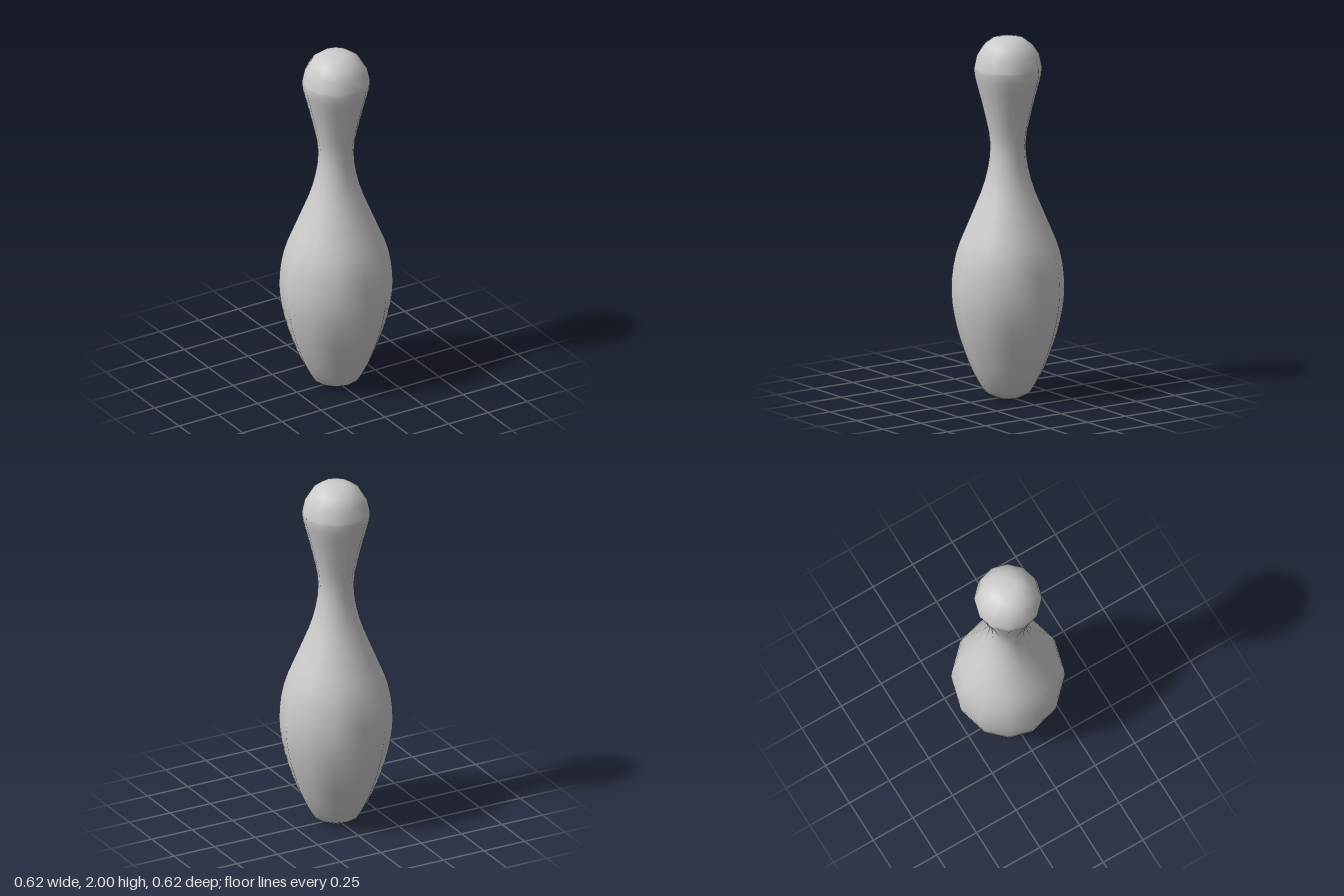
import * as THREE from 'three';

const SIDES = 12;

export function createModel() {
  const group = new THREE.Group();
  group.name = 'pin';

  // Smooth flank from the foot, over the belly and neck, to the widest part of the head
  const flank = new THREE.SplineCurve([
    [0.125, 0.03], [0.163, 0.09], [0.215, 0.2], [0.278, 0.39], [0.308, 0.59],
    [0.284, 0.8], [0.206, 1.0], [0.128, 1.2], [0.097, 1.4], [0.134, 1.6],
    [0.178, 1.77], [0.184, 1.83],
  ].map(([r, y]) => new THREE.Vector2(r, y))).getPoints(33);

  // Slightly hollow base and rounded crown close the profile
  const base = [[0, 0.012], [0.035, 0.01], [0.07, 0]].map(([r, y]) => new THREE.Vector2(r, y));
  const crown = [[0.169, 1.9], [0.135, 1.953], [0.088, 1.988], [0.045, 1.997], [0, 2]]
    .map(([r, y]) => new THREE.Vector2(r, y));

  const body = new THREE.Mesh(
    new THREE.LatheGeometry([...base, ...flank, ...crown], SIDES),
    new THREE.MeshStandardMaterial({ color: 0xcccccc }),
  );
  body.name = 'pinBody';
  group.add(body);
  return group;
}
